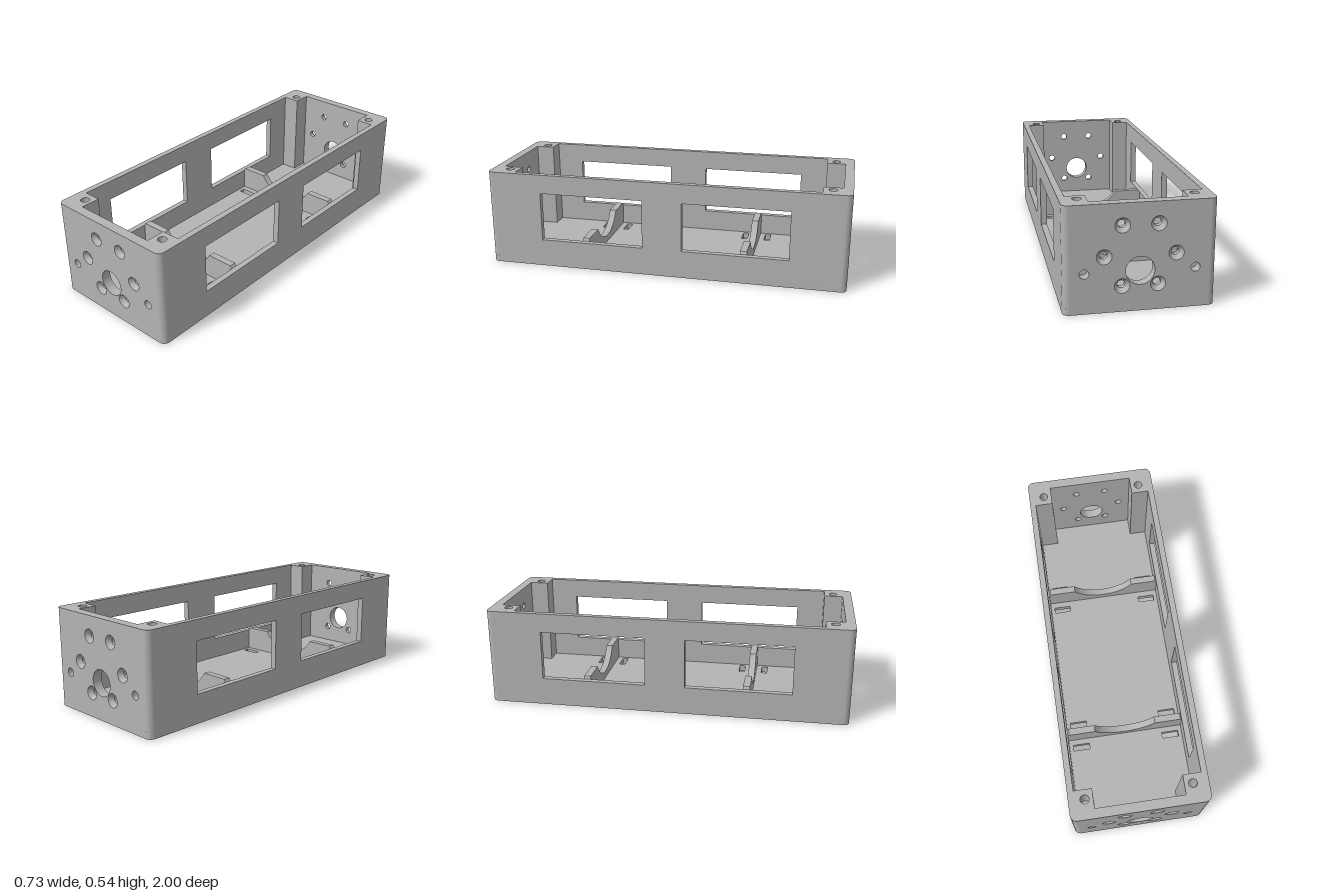
import * as THREE from 'three';
import { toCreasedNormals } from 'three/addons/utils/BufferGeometryUtils.js';

const W = 0.367, L = 1, H = 0.535;          // half width, half length, height
const R = 0.033;                            // corner radius and side wall thickness
const END = 0.051, FLOOR = 0.035;           // end wall and floor thickness
const IN_X = W - R, IN_Z = L - END;         // inner cavity half sizes
const SINK = 0.025;                         // countersink depth
const AXIS_Y = 0.279;                       // height of the screw circle and cradle axis

const grey = new THREE.MeshStandardMaterial({ color: 0xb3b3b3 });
grey.name = 'grey';

function add(parent, geometry, name) {
  const m = new THREE.Mesh(geometry, grey);
  m.name = name;
  parent.add(m);
  return m;
}

function rect(x0, y0, x1, y1, Type = THREE.Shape) {
  const s = new Type();
  s.moveTo(x0, y0).lineTo(x1, y0).lineTo(x1, y1).lineTo(x0, y1).closePath();
  return s;
}

function hole(x, y, r) {
  return new THREE.Path().absarc(x, y, r, 0, Math.PI * 2, true);
}

function extrude(shape, depth) {
  const g = new THREE.ExtrudeGeometry(shape, { depth, bevelEnabled: false, curveSegments: 24 });
  return toCreasedNormals(g, 0.5);
}

// Extrudes a plan drawn in (x, -z) upward from height y0
function extrudeUp(shape, y0, y1) {
  return extrude(shape, y1 - y0).rotateX(-Math.PI / 2).translate(0, y0, 0);
}

function makeFloor(parent) {
  const s = new THREE.Shape();
  s.absarc(IN_X, L - R, R, 0, Math.PI / 2);
  s.absarc(-IN_X, L - R, R, Math.PI / 2, Math.PI);
  s.absarc(-IN_X, R - L, R, Math.PI, Math.PI * 1.5);
  s.absarc(IN_X, R - L, R, Math.PI * 1.5, Math.PI * 2);
  s.closePath();
  // strap slots on both sides of each cradle
  for (const x of [-0.265, 0.265])
    for (const z of [-0.512, -0.376, 0.376, 0.512])
      s.holes.push(rect(x - 0.048, z - 0.017, x + 0.048, z + 0.017, THREE.Path));
  add(parent, extrudeUp(s, 0, FLOOR), 'floor');
}

function makeSideWall(parent, side) {
  const s = rect(R - L, FLOOR, L - R, H);
  s.holes.push(rect(0.11, 0.155, 0.692, 0.428, THREE.Path));
  s.holes.push(rect(-0.692, 0.155, -0.11, 0.428, THREE.Path));
  const g = extrude(s, R).rotateY(-Math.PI / 2).translate(side > 0 ? W : -IN_X, 0, 0);
  add(parent, g, side > 0 ? 'leftWall' : 'rightWall');
}

function makeEnd() {
  const end = new THREE.Group();

  // Six countersunk screw holes on a circle
  const screws = [];
  for (let i = 0; i < 6; i++) {
    const a = i * Math.PI / 3;
    screws.push([0.172 * Math.cos(a), AXIS_Y + 0.172 * Math.sin(a)]);
  }

  // End wall in two layers: wide holes outside, narrow holes inside
  const layer = (r, z0, z1, name) => {
    const s = rect(-IN_X, FLOOR, IN_X, H);
    s.holes.push(hole(0, 0.202, 0.07));
    for (const x of [-0.266, 0.266]) s.holes.push(hole(x, 0.201, 0.023));
    for (const [x, y] of screws) s.holes.push(hole(x, y, r));
    add(end, extrude(s, z1 - z0).translate(0, 0, z0), name);
  };
  layer(0.019, IN_Z, L - SINK, 'endWallInner');
  layer(0.037, L - SINK, L, 'endWallOuter');

  // Conical seats facing outward
  const cone = new THREE.LatheGeometry(
    [new THREE.Vector2(0.037, 0), new THREE.Vector2(0.019, -SINK)], 40).rotateX(Math.PI / 2);
  for (const [x, y] of screws) add(end, cone, 'countersink').position.set(x, y, L);

  for (const side of [-1, 1]) {
    // Rounded vertical corner
    const corner = new THREE.CylinderGeometry(R, R, H - FLOOR, 12, 1, false,
      side > 0 ? 0 : Math.PI * 1.5, Math.PI / 2);
    add(end, corner, 'roundedCorner').position.set(side * IN_X, (H + FLOOR) / 2, L - R);

    // Inner post with a blind lid-screw hole
    const x0 = Math.min(side * 0.237, side * IN_X), x1 = x0 + IN_X - 0.237;
    add(end, extrudeUp(rect(x0, -IN_Z, x1, -0.845), FLOOR, 0.335), 'cornerPost');
    const top = rect(x0, -IN_Z, x1, -0.845);
    top.holes.push(hole(side * 0.282, -0.896, 0.023));
    add(end, extrudeUp(top, 0.335, H), 'cornerPostTop');
  }

  // Cradle rib with a round cut-out
  const r = 0.206, ribTop = 0.17;
  const a = Math.asin((ribTop - AXIS_Y) / r);
  const rib = new THREE.Shape();
  rib.moveTo(-IN_X, FLOOR).lineTo(IN_X, FLOOR).lineTo(IN_X, 0.155).lineTo(0.325, ribTop);
  rib.absarc(0, AXIS_Y, r, a, -Math.PI - a, true);
  rib.lineTo(-0.325, ribTop).lineTo(-IN_X, 0.155).closePath();
  add(end, extrude(rib, 0.038).translate(0, 0, 0.426), 'cradleRib');
  return end;
}

export function createModel() {
  const model = new THREE.Group();
  model.name = 'enclosure';
  makeFloor(model);
  makeSideWall(model, 1);
  makeSideWall(model, -1);

  const front = makeEnd();
  front.name = 'frontEnd';
  const back = front.clone();
  back.name = 'backEnd';
  back.rotation.y = Math.PI;
  model.add(front, back);
  return model;
}
